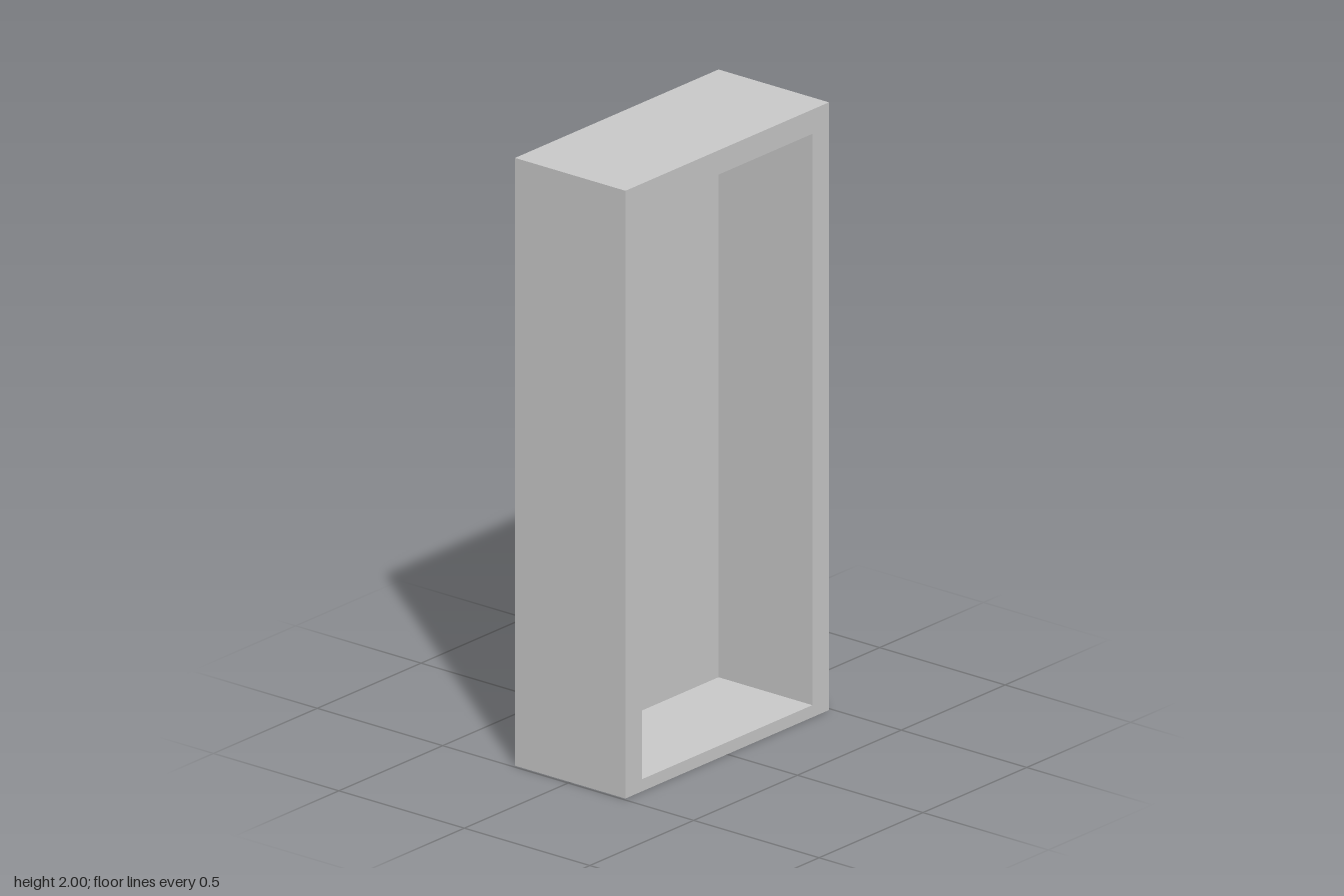
import * as THREE from 'three';

const W = 0.98, H = 2, D = 0.44;      // overall size
const FRAME = 0.045;                  // depth of the front frame

export function createModel() {
  const group = new THREE.Group();
  const solid = new THREE.MeshStandardMaterial({ color: 0xcccccc });
  const sheet = new THREE.MeshStandardMaterial({ color: 0xcccccc, side: THREE.DoubleSide });

  // Front frame with a tall rectangular opening
  const shape = new THREE.Shape([[-W / 2, 0], [W / 2, 0], [W / 2, H], [-W / 2, H]]
    .map(([x, y]) => new THREE.Vector2(x, y)));
  shape.holes.push(new THREE.Path([[-0.41, 0.04], [-0.41, 1.92], [0.41, 1.92], [0.41, 0.04]]
    .map(([x, y]) => new THREE.Vector2(x, y))));
  const frame = new THREE.Mesh(
    new THREE.ExtrudeGeometry(shape, { depth: FRAME, bevelEnabled: false }), solid);
  frame.name = 'frontFrame';
  frame.position.z = D / 2 - FRAME;
  group.add(frame);

  // Thin sheet panels of the hollow case behind the frame
  const depth = D - FRAME, midZ = -FRAME / 2;
  const panel = (name, w, h, pos, rx = 0, ry = 0) => {
    const mesh = new THREE.Mesh(new THREE.PlaneGeometry(w, h), sheet);
    mesh.name = name;
    mesh.position.set(...pos);
    mesh.rotation.set(rx, ry, 0);
    group.add(mesh);
  };
  panel('backPanel', W, H, [0, H / 2, -D / 2], 0, Math.PI);
  panel('leftPanel', depth, H, [W / 2, H / 2, midZ], 0, Math.PI / 2);
  panel('rightPanel', depth, H, [-W / 2, H / 2, midZ], 0, -Math.PI / 2);
  panel('topPanel', W, depth, [0, H, midZ], -Math.PI / 2);
  panel('bottomPanel', W, depth, [0, 0, midZ], Math.PI / 2);

  return group;
}
